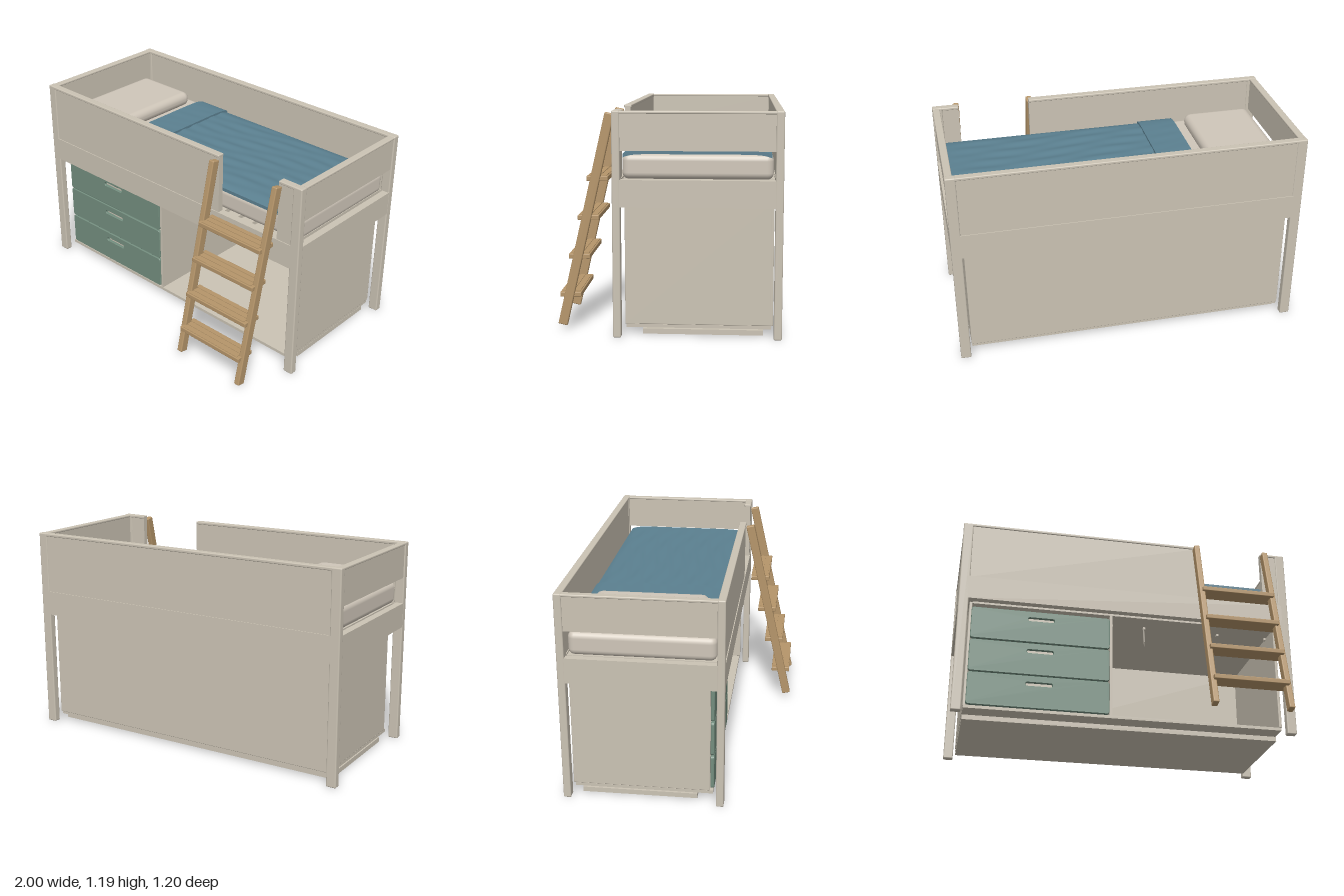
import * as THREE from 'three';
import { RoundedBoxGeometry } from 'three/addons/geometries/RoundedBoxGeometry.js';

const material = (name, color) => {
  const m = new THREE.MeshStandardMaterial({ color });
  m.name = name;
  return m;
};

export function createModel() {
  const paint = material('warm grey paint', 0xcbc3b4);
  const linen = material('linen', 0xcfc6b9);
  const green = material('sage green', 0x738d7e);
  const blue = material('blue cloth', 0x5b8090);
  const wood = material('oak', 0xb5956a);

  const model = new THREE.Group();
  model.name = 'cabinBed';
  const group = (name) => {
    const g = new THREE.Group();
    g.name = name;
    model.add(g);
    return g;
  };
  // Box given by its limits on each axis; r rounds the edges
  const box = (parent, name, mat, [x0, x1], [y0, y1], [z0, z1], r = 0) => {
    const size = [x1 - x0, y1 - y0, z1 - z0];
    const geo = r ? new RoundedBoxGeometry(...size, 3, r) : new THREE.BoxGeometry(...size);
    const mesh = new THREE.Mesh(geo, mat);
    mesh.name = name;
    mesh.position.set((x0 + x1) / 2, (y0 + y1) / 2, (z0 + z1) / 2);
    parent.add(mesh);
    return mesh;
  };

  // Frame: posts, side rails and end rails
  const frame = group('frame');
  const front = [0.246, 0.288], back = [-0.596, -0.554];
  for (const z of [front, back]) {
    box(frame, 'leftPost', paint, [0.942, 1], [0.004, 1.196], z, 0.007);
    box(frame, 'rightPost', paint, [-1, -0.942], [0.004, 1.196], z, 0.007);
    box(frame, 'sideRail', paint, [-0.96, 0.96], [0.697, 0.84], z);
  }
  for (const s of [-1, 1]) {
    const span = (a, b) => (s > 0 ? [a, b] : [-b, -a]);
    box(frame, 'endRail', paint, span(0.957, 0.999), [0.697, 0.84], [-0.57, 0.262]);
    box(frame, 'endBoard', paint, span(0.96, 0.993), [0.99, 1.185], [-0.57, 0.262]);
    box(frame, 'endCap', paint, span(0.957, 0.998), [1.18, 1.194], [-0.57, 0.262], 0.005);
  }

  // Guard boards, the front one open for the ladder
  const guard = (name, x0, x1, z, face) => {
    box(frame, name, paint, [x0, x1], [0.835, 1.182], face);
    box(frame, name + 'Cap', paint, [x0, x1], [1.178, 1.195], z, 0.005);
  };
  guard('backGuard', -0.95, 0.95, back, [-0.591, -0.559]);
  guard('frontGuard', -0.95, 0.43, front, [0.251, 0.283]);
  guard('shortFrontGuard', 0.847, 0.95, front, [0.251, 0.283]);

  // Slats across the frame
  const slats = group('slats');
  for (let i = 0; i < 19; i++) {
    const x = -0.9 + i * 0.1;
    box(slats, 'slat', paint, [x - 0.033, x + 0.033], [0.808, 0.832], [-0.558, 0.25]);
  }

  // Mattress and pillow
  const bedding = group('bedding');
  box(bedding, 'mattress', linen, [-0.955, 0.955], [0.838, 0.97], [-0.545, 0.24], 0.035);
  box(bedding, 'pillow', linen, [-0.915, -0.505], [0.965, 1.055], [-0.475, 0.16], 0.042);

  // Cloth with soft creases running lengthwise and edges that drop
  const cloth = (name, x0, x1, y, thick, crease) => {
    const geo = new THREE.BoxGeometry(x1 - x0, thick, 0.77, 50, 1, 70);
    const p = geo.attributes.position;
    for (let i = 0; i < p.count; i++) {
      const x = p.getX(i), z = p.getZ(i);
      const edge = Math.pow(Math.abs(z) / 0.385, 10);
      const fade = (1 - edge) * (1 - Math.pow(Math.abs(x) / ((x1 - x0) / 2), 6));
      const wave = Math.sin(z * 62 + Math.sin(x * 7) * 0.8) * Math.sin(x * 9 + z * 11);
      p.setY(i, p.getY(i) - edge * 0.018 + crease * wave * fade);
    }
    geo.computeVertexNormals();
    const mesh = new THREE.Mesh(geo, blue);
    mesh.name = name;
    mesh.position.set((x0 + x1) / 2, y, -0.15);
    bedding.add(mesh);
  };
  cloth('blanket', -0.44, 0.953, 0.98, 0.02, 0.004);
  cloth('blanketFold', -0.45, -0.235, 0.992, 0.02, 0.001);

  // Cabinet under the bed
  const cabinet = group('cabinet');
  box(cabinet, 'plinth', paint, [-0.93, 0.925], [0.008, 0.036], [-0.5, 0.137]);
  for (const x of [-0.8, 0, 0.8]) for (const z of [-0.4, 0.04])
    box(cabinet, 'spacer', paint, [x - 0.02, x + 0.02], [0.03, 0.05], [z - 0.02, z + 0.02]);
  box(cabinet, 'floorBoard', paint, [-0.93, 0.93], [0.044, 0.062], [-0.54, 0.224]);
  box(cabinet, 'topBoard', paint, [-0.915, 0.915], [0.698, 0.714], [-0.535, 0.22]);
  box(cabinet, 'backPanel', paint, [-0.932, 0.932], [0.062, 0.714], [-0.551, -0.535], 0.004);
  box(cabinet, 'leftPanel', paint, [0.915, 0.932], [0.062, 0.714], [-0.54, 0.23], 0.004);
  box(cabinet, 'rightPanel', paint, [-0.932, -0.915], [0.062, 0.714], [-0.54, 0.207], 0.004);
  box(cabinet, 'divider', paint, [-0.1, -0.084], [0.062, 0.7], [-0.54, 0.222]);

  // Drawers with a slot handle cut through each front
  const roundRect = (s, w, h, r, cy = 0) => {
    s.absarc(w / 2 - r, cy + h / 2 - r, r, 0, Math.PI / 2);
    s.absarc(-w / 2 + r, cy + h / 2 - r, r, Math.PI / 2, Math.PI);
    s.absarc(-w / 2 + r, cy - h / 2 + r, r, Math.PI, Math.PI * 1.5);
    s.absarc(w / 2 - r, cy - h / 2 + r, r, Math.PI * 1.5, Math.PI * 2);
    s.closePath();
    return s;
  };
  const drawers = group('drawers');
  for (const y of [0.166, 0.37, 0.575]) {
    const shape = roundRect(new THREE.Shape(), 0.81, 0.192, 0.012);
    shape.holes.push(roundRect(new THREE.Path(), 0.16, 0.027, 0.012, 0.048));
    const geo = new THREE.ExtrudeGeometry(shape, {
      depth: 0.014, bevelSize: 0.003, bevelThickness: 0.003, bevelSegments: 1, curveSegments: 5,
    });
    const face = new THREE.Mesh(geo, green);
    face.name = 'drawerFront';
    face.position.set(-0.51, y, 0.211);
    drawers.add(face);
    box(drawers, 'drawerBox', paint, [-0.905, -0.112], [y - 0.09, y + 0.09], [-0.5, 0.207]);
  }

  // Hook and small brackets under the top board
  const hooks = group('hooks');
  const loop = new THREE.Mesh(new THREE.TorusGeometry(0.01, 0.002, 6, 16), paint);
  loop.name = 'hook';
  loop.scale.y = 5.5;
  loop.rotation.y = 1.2;
  loop.position.set(0.135, 0.635, 0.1);
  hooks.add(loop);
  for (const x of [-0.067, 0.135, 0.6, 0.907])
    box(hooks, 'bracket', paint, [x - 0.007, x + 0.007], [0.682, 0.7], [0.09, 0.11], 0.003);

  // Leaning ladder with level, grooved treads
  const ladder = group('ladder');
  for (const x of [0.421, 0.858]) {
    const rail = box(ladder, 'ladderRail', wood, [x - 0.017, x + 0.017], [0.02, 1.19], [0.415, 0.465], 0.006);
    rail.rotation.x = -0.227;
    rail.position.z = 0.445;
  }
  for (let i = 0; i < 4; i++) {
    const y = 0.2 + i * 0.21, z = 0.533 - i * 0.05;
    box(ladder, 'tread', wood, [0.42, 0.86], [y - 0.015, y + 0.012], [z - 0.057, z + 0.057], 0.004);
    for (const dz of [-0.036, 0, 0.036])
      box(ladder, 'treadRidge', wood, [0.438, 0.841], [y + 0.01, y + 0.015], [z + dz - 0.013, z + dz + 0.013]);
  }
  return model;
}
